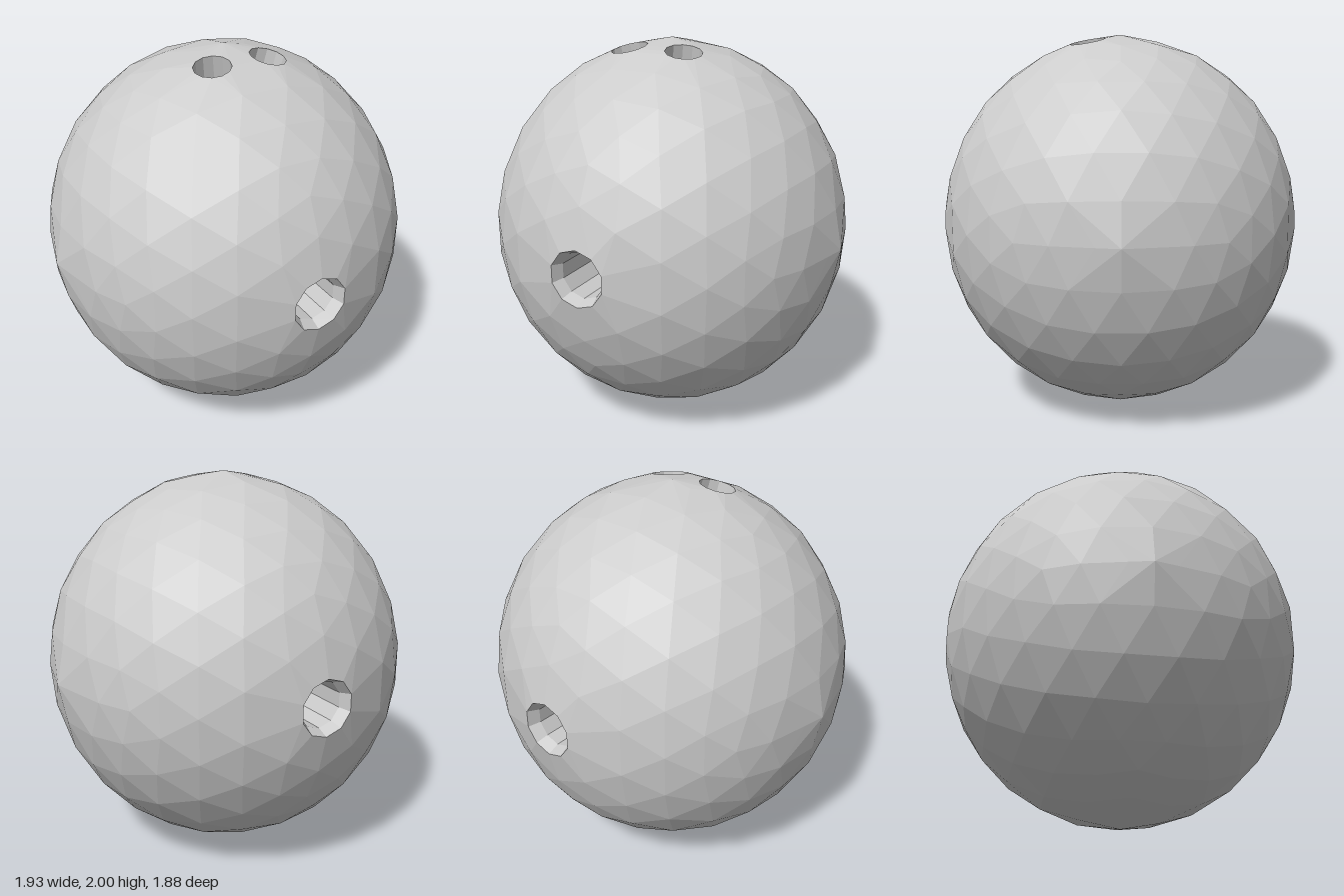
import * as THREE from 'three';
import { ConvexGeometry } from 'three/addons/geometries/ConvexGeometry.js';

const V = (x, y, z) => new THREE.Vector3(x, y, z);
const UP = V(0, 1, 0);

// Bores: axis, rim radius, rim heights along the axis, sides, wall profile [radius, height]
const bores = [
  { name: 'throughHole', axis: V(0, 0, 1), r: 0.145, rims: [0.94, -0.94], sides: 10,
    profile: [[0.145, 0.94], [0.12, 0.88], [0.12, -0.88], [0.145, -0.94]] },
  ...[['left', 1], ['right', -1]].map(([side, s]) => ({
    name: side + 'FingerHole', axis: V(s * 0.155, 0.955, 0.17).normalize(), r: 0.095, rims: [0.982], sides: 12,
    profile: [[0.095, 0.982], [0.095, 0.6], [0, 0.6]] })),
];

const turn = (axis) => new THREE.Quaternion().setFromUnitVectors(UP, axis);

// True when a point lies within `radius` of the bore axis, near one of its rims
function inMouth(p, bore, radius) {
  const h = p.dot(bore.axis);
  const d = Math.sqrt(Math.max(0, p.lengthSq() - h * h));
  return d < radius && bore.rims.some((rim) => Math.abs(rim - h) < 0.15);
}

// Faceted ball: convex hull of a geodesic point set and the bore rims, with the rim caps left out
function ballGeometry() {
  const ico = new THREE.IcosahedronGeometry(1, 4).attributes.position;
  const seen = new Set();
  const points = [V(0, 1, 0), V(0, -1, 0), V(0.965, 0, 0), V(-0.965, 0, 0)];
  for (let i = 0; i < ico.count; i++) {
    const p = V().fromBufferAttribute(ico, i).multiply(V(0.945, 0.985, 0.95));
    const key = p.toArray().map((n) => Math.round(n * 1000)).join();
    if (seen.has(key) || bores.some((b) => inMouth(p, b, b.r + 0.06))) continue;
    seen.add(key);
    points.push(p);
  }
  for (const b of bores) {
    for (const h of b.rims) {
      for (let i = 0; i < b.sides; i++) {
        const a = (i / b.sides) * Math.PI * 2;
        points.push(V(b.r * Math.sin(a), h, b.r * Math.cos(a)).applyQuaternion(turn(b.axis)));
      }
    }
  }
  const hull = new ConvexGeometry(points).attributes.position;
  const kept = [];
  for (let i = 0; i < hull.count; i += 3) {
    const tri = [0, 1, 2].map((k) => V().fromBufferAttribute(hull, i + k));
    if (bores.some((b) => tri.every((p) => inMouth(p, b, b.r + 0.002)))) continue;
    tri.forEach((p) => kept.push(p.x, p.y, p.z));
  }
  const geometry = new THREE.BufferGeometry();
  geometry.setAttribute('position', new THREE.Float32BufferAttribute(kept, 3));
  geometry.computeVertexNormals();
  return geometry;
}

export function createModel() {
  const model = new THREE.Group();
  model.name = 'drilledBall';
  const material = new THREE.MeshStandardMaterial({ color: 0xcccccc, flatShading: true, side: THREE.DoubleSide });

  const ball = new THREE.Mesh(ballGeometry(), material);
  ball.name = 'ballShell';
  ball.position.y = 1;
  model.add(ball);

  // Bore walls
  for (const b of bores) {
    const profile = b.profile.map(([r, h]) => new THREE.Vector2(r, h));
    const wall = new THREE.Mesh(new THREE.LatheGeometry(profile, b.sides), material);
    wall.name = b.name;
    wall.quaternion.copy(turn(b.axis));
    wall.position.y = 1;
    model.add(wall);
  }
  return model;
}
